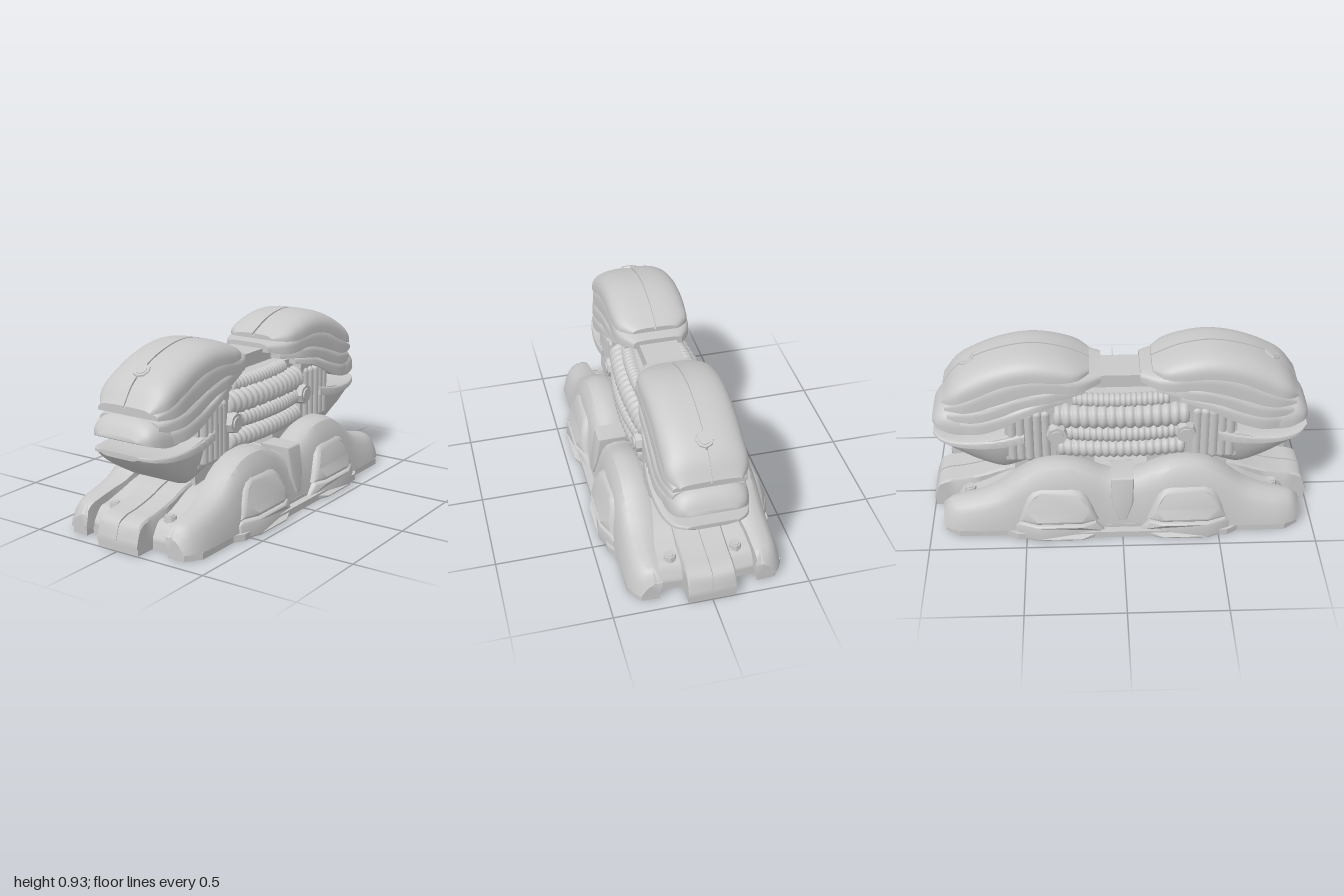
import * as THREE from 'three';
import { toCreasedNormals } from 'three/addons/utils/BufferGeometryUtils.js';

const grey = new THREE.MeshStandardMaterial({ color: 0xc8c8c8 });
grey.name = 'plain grey';

function add(parent, name, geometry, x = 0, y = 0, z = 0) {
  const mesh = new THREE.Mesh(geometry, grey);
  mesh.name = name;
  mesh.position.set(x, y, z);
  parent.add(mesh);
  return mesh;
}

// Smoothly resamples rows of [z, ...values]
function resample(rows, steps = 28) {
  const size = rows[0].length - 1;
  const curve = new THREE.CubicInterpolant(
    Float32Array.from(rows.map(r => r[0])),
    Float32Array.from(rows.flatMap(r => r.slice(1))), size, new Float32Array(size));
  const z0 = rows[0][0], z1 = rows.at(-1)[0];
  return Array.from({ length: steps + 1 }, (_, i) => {
    const z = z0 + (z1 - z0) * Math.sin(i / steps * Math.PI / 2) ** 1.2;
    return [z, ...curve.evaluate(Math.min(z, z1 - 1e-5))];
  });
}

// Skins closed counter-clockwise sections along z
function loft(rows, section, crease = 0.6) {
  const pos = [], idx = [];
  const rings = resample(rows).map(r => section(...r.slice(1)).map(([x, y]) => [x, y, r[0]]));
  const n = rings[0].length, last = (rings.length - 1) * n;
  rings.forEach(ring => ring.forEach(p => pos.push(...p)));
  for (let i = 0; i < rings.length - 1; i++) for (let j = 0; j < n; j++) {
    const a = i * n + j, b = i * n + (j + 1) % n;
    idx.push(a, b, b + n, a, b + n, a + n);
  }
  for (let j = 1; j < n - 1; j++) idx.push(0, j + 1, j, last, last + j, last + j + 1);
  const g = new THREE.BufferGeometry();
  g.setAttribute('position', new THREE.Float32BufferAttribute(pos, 3));
  g.setIndex(idx);
  return toCreasedNormals(g, crease);
}

// Flat-bottomed dome section, or half of one beside a centre groove
const groove = 0.005;
const dome = (power, half) => (w, top, bot) => {
  const pts = half ? [[groove, bot]] : [];
  for (let i = 0; i <= (half ? 12 : 24); i++) {
    const a = i / 24 * Math.PI, c = Math.cos(a);
    const x = Math.sign(c) * w * Math.abs(c) ** (2 / power);
    pts.push([half ? Math.max(x, groove) : x, bot + (top - bot) * Math.max(0, Math.sin(a)) ** (2 / power)]);
  }
  return pts;
};

const jawSection = (w, top, bot) => {
  const h = top - bot;
  const right = [[0.5, 0], [0.6, 0.02], [0.7, 0.1], [0.82, 0.3], [0.92, 0.58], [0.98, 0.85], [1, 1]];
  const side = right.map(([k, t]) => [k * w, bot + t * h]);
  return [...side, ...side.slice().reverse().map(([x, y]) => [-x, y])];
};

const fenderSection = (h, outer, inner) => [
  [inner, 0.034], [outer, 0.034], [outer - 0.007, 0.35 * h + 0.01], [outer - 0.027, 0.7 * h],
  [outer - 0.045, 0.86 * h], [outer - 0.07, 0.96 * h], [outer - 0.11, h], [inner + 0.03, h], [inner, 0.95 * h]];

const blockSection = (x0, x1, drop = 0) => h => [
  [x0, 0.034], [x1, 0.034], [x1, h - drop - 0.012], [x1 - 0.008, h - drop], [x0, h - drop]];

const shellRows = [[0.16, 0.12, 0.848, 0.822], [0.21, 0.178, 0.873, 0.815], [0.3, 0.2, 0.91, 0.81],
  [0.45, 0.205, 0.935, 0.82], [0.6, 0.205, 0.915, 0.795], [0.75, 0.205, 0.86, 0.73],
  [0.86, 0.195, 0.785, 0.69], [0.92, 0.15, 0.70, 0.68]];
const stripRows = [[0, 0.25], [0.3, 0.25], [0.52, 0.25], [0.62, 0.235], [0.72, 0.2], [0.85, 0.17],
  [0.94, 0.155], [0.98, 0.125], [1, 0.06]];

// Extrudes a [z, y] outline sideways from x0 to x1, leaning its outer face inward by a rule
function sidePlate(outline, x0, x1, bevel, lean) {
  const shape = new THREE.Shape(outline.map(([z, y]) => new THREE.Vector2(-z, y)));
  const g = new THREE.ExtrudeGeometry(shape, {
    depth: x1 - x0 - bevel, bevelEnabled: true, bevelThickness: bevel, bevelSize: bevel,
    bevelOffset: -bevel, bevelSegments: 3 });
  g.rotateY(Math.PI / 2).translate(x0, 0, 0);
  const p = g.attributes.position;
  for (let i = 0; i < p.count; i++) p.setX(i, p.getX(i) - lean(p.getY(i), p.getZ(i)));
  return toCreasedNormals(g, 0.6);
}

// Tapers the wheel parts toward both ends
const wheelTaper = z => Math.max(0, Math.abs(z - 0.325) - 0.12) * 0.42;

// Ribbed hose along z, bowed outward at the middle
function hose(radius, length, ribs, bow) {
  const pts = [new THREE.Vector2(0, -length / 2)];
  for (let i = 0; i <= ribs * 6; i++) {
    const t = i / (ribs * 6);
    pts.push(new THREE.Vector2(radius * (0.8 + 0.2 * Math.abs(Math.sin(t * ribs * Math.PI))), (t - 0.5) * length));
  }
  pts.push(new THREE.Vector2(0, length / 2));
  const g = new THREE.LatheGeometry(pts, 16).rotateX(Math.PI / 2);
  const p = g.attributes.position;
  for (let i = 0; i < p.count; i++) p.setX(i, p.getX(i) + bow * (1 - (2 * p.getZ(i) / length) ** 2));
  g.computeVertexNormals();
  return g;
}

function roundBolt(parent, name, r, depth) {
  const g = new THREE.Group();
  g.name = name;
  add(g, 'boltCollar', toCreasedNormals(new THREE.CylinderGeometry(r * 0.85, r, depth, 8), 0.4));
  add(g, 'boltHead', toCreasedNormals(new THREE.CylinderGeometry(r * 0.55, r * 0.65, depth * 1.3, 20), 0.6));
  parent.add(g);
  return g;
}

// Parts on one side of one end
function buildQuarter() {
  const q = new THREE.Group();
  q.name = 'sideParts';
  add(q, 'topShell', loft(shellRows, dome(3, true)));
  add(q, 'fender', loft([[0, 0.30, 0.39, 0.2], [0.08, 0.31, 0.39, 0.2], [0.16, 0.35, 0.395, 0.2],
    [0.25, 0.383, 0.4, 0.2], [0.35, 0.39, 0.4, 0.2], [0.45, 0.37, 0.4, 0.2], [0.54, 0.315, 0.4, 0.2],
    [0.63, 0.245, 0.4, 0.21], [0.75, 0.2, 0.4, 0.235], [0.84, 0.178, 0.393, 0.24],
    [0.9, 0.155, 0.372, 0.245], [0.935, 0.11, 0.345, 0.25]], fenderSection));
  add(q, 'centreStrip', loft(stripRows, blockSection(groove, 0.122)));
  add(q, 'innerBar', loft([[0, 0.24], [0.3, 0.24], [0.52, 0.235], [0.62, 0.21], [0.7, 0.17], [0.78, 0.138],
    [0.84, 0.122], [0.88, 0.06]], blockSection(0.115, 0.25)));
  roundBolt(q, 'footBolt', 0.034, 0.03).position.set(0.168, 0.141, 0.8);

  // Wheel cover with its lower rim
  add(q, 'wheelCover', sidePlate([[0.125, 0.095], [0.155, 0.17], [0.185, 0.235], [0.215, 0.265], [0.26, 0.28],
    [0.42, 0.28], [0.46, 0.265], [0.49, 0.235], [0.515, 0.17], [0.54, 0.095], [0.44, 0.095], [0.21, 0.095]],
    0.3, 0.445, 0.02, (y, z) => wheelTaper(z) + Math.max(0, y - 0.095) ** 2 * 1.6 + Math.max(0, y - 0.095) * 0.08));
  add(q, 'wheelRim', sidePlate([[0.095, 0.002], [0.095, 0.035], [0.14, 0.09], [0.21, 0.09], [0.44, 0.09],
    [0.535, 0.09], [0.555, 0.07], [0.555, 0.002], [0.44, 0.002], [0.21, 0.002]], 0.39, 0.458, 0.01,
    (y, z) => wheelTaper(z) + y * 0.12));

  // Side joint and its upright ribs
  for (let i = 0; i < 5; i++) {
    add(q, 'jointRib', new THREE.CapsuleGeometry(0.026, 0.25, 4, 10), 0.18 + 0.006 * Math.min(i, 2), 0.49, 0.39 + i * 0.043);
  }
  const bolt = roundBolt(q, 'jointBolt', 0.06, 0.05);
  bolt.rotation.z = -Math.PI / 2;
  bolt.position.set(0.208, 0.51, 0.33);
  return q;
}

function buildEnd() {
  const end = new THREE.Group();
  end.name = 'endHalf';
  const left = buildQuarter(), right = buildQuarter();
  right.scale.x = -1;
  end.add(left, right);

  // Floors of the centre grooves
  add(end, 'shellSpine', loft(shellRows.map(([z, , top, bot]) => [z, 0.012, Math.max(top - 0.012, bot + 0.008), bot]), dome(8)));
  add(end, 'stripSpine', loft(stripRows, blockSection(-0.012, 0.012, 0.01)));

  // Overlapping plates below the top shell
  add(end, 'upperPlate', loft([[0.1, 0.13, 0.815, 0.77], [0.2, 0.19, 0.825, 0.75], [0.35, 0.205, 0.85, 0.75],
    [0.5, 0.208, 0.85, 0.735], [0.65, 0.208, 0.81, 0.68], [0.8, 0.206, 0.735, 0.645], [0.9, 0.18, 0.68, 0.65]], dome(5)));
  add(end, 'middlePlate', loft([[0.18, 0.16, 0.76, 0.725], [0.35, 0.212, 0.78, 0.705], [0.5, 0.217, 0.76, 0.675],
    [0.62, 0.219, 0.72, 0.625], [0.75, 0.216, 0.675, 0.59], [0.89, 0.18, 0.64, 0.585]], dome(5)));
  add(end, 'lowerPlate', loft([[0.3, 0.18, 0.715, 0.675], [0.42, 0.218, 0.71, 0.655], [0.52, 0.226, 0.68, 0.61],
    [0.62, 0.228, 0.65, 0.56], [0.74, 0.224, 0.62, 0.525], [0.86, 0.19, 0.6, 0.52]], dome(5)));
  add(end, 'upperLip', loft([[0.68, 0.2, 0.62, 0.54], [0.78, 0.206, 0.635, 0.515], [0.86, 0.2, 0.652, 0.515],
    [0.92, 0.185, 0.64, 0.53], [0.955, 0.16, 0.605, 0.54], [0.975, 0.12, 0.57, 0.55]], dome(3)));

  // Lower jaw and rim
  add(end, 'jaw', loft([[0.45, 0.2, 0.5, 0.3], [0.55, 0.215, 0.5, 0.27], [0.62, 0.22, 0.49, 0.257],
    [0.7, 0.22, 0.475, 0.285], [0.8, 0.215, 0.462, 0.34], [0.9, 0.19, 0.466, 0.402],
    [0.94, 0.165, 0.47, 0.432], [0.968, 0.12, 0.474, 0.456]], jawSection));
  add(end, 'jawRim', loft([[0.5, 0.222, 0.52, 0.465], [0.6, 0.229, 0.497, 0.445], [0.75, 0.226, 0.477, 0.437],
    [0.88, 0.203, 0.475, 0.446], [0.94, 0.172, 0.481, 0.459], [0.975, 0.125, 0.486, 0.47]], dome(8)));

  const shellBolt = roundBolt(end, 'shellBolt', 0.05, 0.02);
  shellBolt.rotation.x = 0.5;
  shellBolt.position.set(0, 0.838, 0.782);
  add(end, 'pedestal', new THREE.BoxGeometry(0.28, 0.16, 0.42), 0, 0.31, 0.35);
  add(end, 'jointBlock', new THREE.BoxGeometry(0.38, 0.38, 0.26), 0, 0.53, 0.47);
  return end;
}

export function createModel() {
  const model = new THREE.Group();
  model.name = 'armouredVehicle';
  const front = buildEnd(), back = buildEnd();
  back.rotation.y = Math.PI;
  model.add(front, back);

  // Middle body, hoses and side keystones
  add(model, 'core', new THREE.BoxGeometry(0.28, 0.34, 0.8), 0, 0.53, 0);
  add(model, 'topBar', new THREE.BoxGeometry(0.2, 0.07, 0.7), 0, 0.755, 0);
  for (const s of [1, -1]) {
    const side = new THREE.Group();
    side.name = 'middleSide';
    side.scale.x = s;
    add(side, 'lowerHose', hose(0.05, 0.66, 17, 0.025), 0.16, 0.4, 0);
    add(side, 'middleHose', hose(0.045, 0.62, 20, 0.035), 0.17, 0.505, 0);
    add(side, 'upperHose', hose(0.068, 0.7, 15, 0.025), 0.145, 0.59, 0);
    add(side, 'topHose', hose(0.04, 0.5, 18, 0.02), 0.125, 0.67, 0);
    add(side, 'keystone', sidePlate([[-0.06, 0.33], [-0.055, 0.18], [-0.02, 0.085], [0.02, 0.085],
      [0.055, 0.18], [0.06, 0.33]], 0.24, 0.4, 0.01, y => Math.max(0, y - 0.085) * 0.15));
    model.add(side);
  }

  // Underside plate with two recesses, each holding two discs
  const corners = [[0.43, 0.545], [0.395, 0.6], [0.395, 0.85], [0.34, 0.925], [0.25, 0.93], [0.25, 0.88],
    [0.122, 0.88], [0.122, 0.995]];
  const mirrored = (sx, sz) => corners.map(([x, z]) => new THREE.Vector2(sx * x, sz * z));
  const plate = new THREE.Shape([...mirrored(1, 1), ...mirrored(-1, 1).reverse(),
    ...mirrored(-1, -1), ...mirrored(1, -1).reverse()]);
  for (const z of [0.36, -0.36]) {
    plate.holes.push(new THREE.Path([[-1, -1], [1, -1], [1, 1], [-1, 1]].map(([a, b]) =>
      new THREE.Vector2(a * 0.385, z + b * 0.2))));
  }
  add(model, 'bottomPlate', new THREE.ExtrudeGeometry(plate, { depth: 0.035, bevelEnabled: false })
    .rotateX(-Math.PI / 2));
  add(model, 'recessFloor', new THREE.BoxGeometry(0.78, 0.02, 1.14), 0, 0.043, 0);
  for (const x of [-0.19, 0.19]) for (const z of [-0.36, 0.36]) {
    add(model, 'undersideDisc', toCreasedNormals(new THREE.CylinderGeometry(0.16, 0.155, 0.03, 32), 0.5), x, 0.02, z);
  }
  return model;
}
